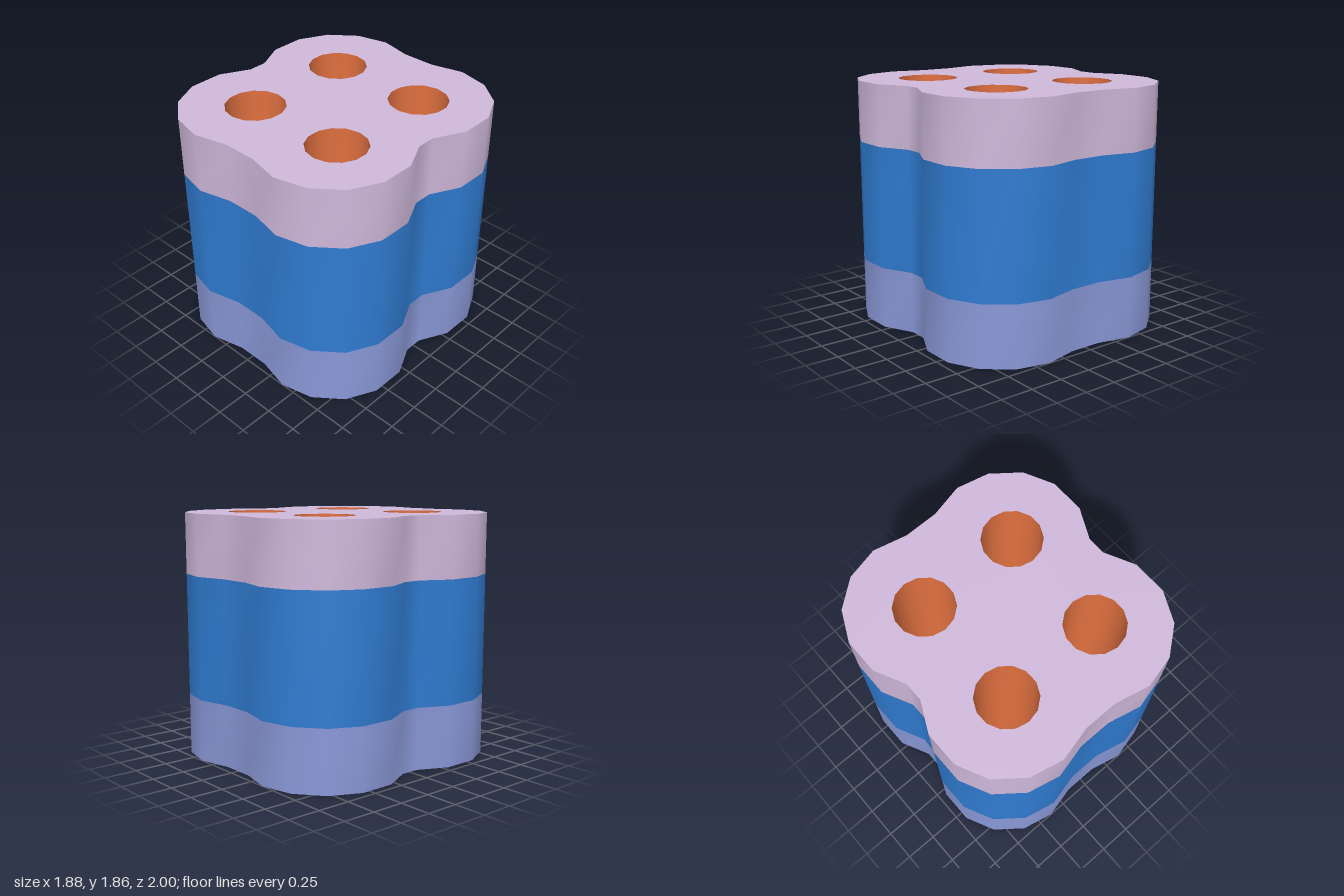
import * as THREE from 'three';

const HEIGHT = 1.86;

function material(name, color, side = THREE.FrontSide) {
  const m = new THREE.MeshStandardMaterial({ color, side });
  m.name = name;
  return m;
}

// Four-lobed outline in plan (x, -z), counter-clockwise, mirrored from one quarter
function lobedOutline() {
  const quarter = [[0.83, 0.072], [0.94, 0.295], [0.94, 0.56], [0.83, 0.785],
    [0.63, 0.943], [0.385, 1], [0.13, 0.94]];
  const back = quarter.map(([x, y]) => [-x, y]).reverse();
  const half = [...quarter, ...back];
  return [...half, ...half.map(([x, y]) => [-x, -y])].map(([x, y]) => new THREE.Vector2(x, y));
}

// 14-sided hole outline, clockwise so that its wall faces inward
function holeOutline(cx, cz) {
  return Array.from({ length: 14 }, (_, i) => {
    const a = Math.PI / 2 - (i / 14) * Math.PI * 2;
    return new THREE.Vector2(cx + 0.225 * Math.cos(a), -cz + 0.225 * Math.sin(a));
  });
}

// Smooth vertical wall following a closed outline
function wall(points, y0, y1) {
  const positions = [], index = [], n = points.length;
  points.forEach((p, i) => {
    positions.push(p.x, y0, -p.y, p.x, y1, -p.y);
    const a = i * 2, b = ((i + 1) % n) * 2;
    index.push(a, b, b + 1, a, b + 1, a + 1);
  });
  const g = new THREE.BufferGeometry();
  g.setAttribute('position', new THREE.Float32BufferAttribute(positions, 3));
  g.setIndex(index);
  g.computeVertexNormals();
  return g;
}

// Flat pierced end face, facing up (dir = 1) or down (dir = -1)
function endFace(outline, holes, dir, y) {
  const flip = (pts) => pts.map((p) => new THREE.Vector2(p.x, p.y * dir));
  const shape = new THREE.Shape(flip(outline));
  shape.holes = holes.map((h) => new THREE.Path(flip(h)));
  return new THREE.ShapeGeometry(shape).rotateX(-dir * Math.PI / 2).translate(0, y, 0);
}

export function createModel() {
  const group = new THREE.Group();
  group.name = 'fourHoleBlock';
  const pink = material('pale mauve', 0xd0b9dc);
  const blue = material('strong blue', 0x307cd2);
  const periwinkle = material('periwinkle', 0x8a99d8);
  const orange = material('burnt orange', 0xe07040, THREE.DoubleSide);

  const add = (name, geometry, mat) => {
    const mesh = new THREE.Mesh(geometry, mat);
    mesh.name = name;
    group.add(mesh);
  };

  const outline = lobedOutline();
  const holes = [];
  for (const x of [-0.385, 0.415]) for (const z of [-0.43, 0.435]) holes.push(holeOutline(x, z));

  // Three stacked bands
  add('lowerBand', wall(outline, 0, 0.47), periwinkle);
  add('middleBand', wall(outline, 0.47, 1.4), blue);
  add('upperBand', wall(outline, 1.4, HEIGHT), pink);

  // End faces
  add('topFace', endFace(outline, holes, 1, HEIGHT), pink);
  add('bottomFace', endFace(outline, holes, -1, 0), periwinkle);

  // Through-hole linings
  holes.forEach((h, i) => add(`holeLining${i + 1}`, wall(h, 0, HEIGHT), orange));

  return group;
}
